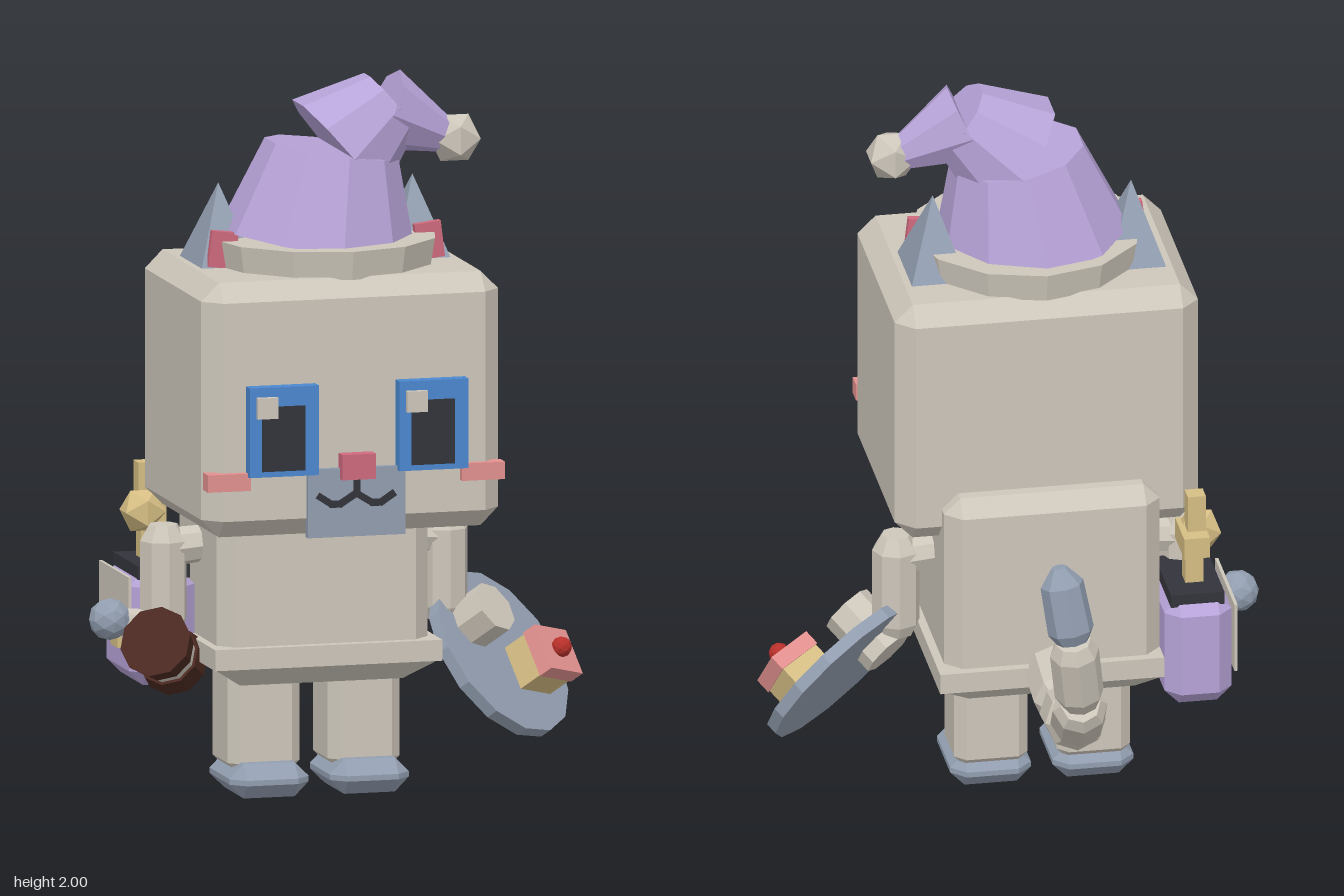
import * as THREE from 'three';
import { ConvexGeometry } from 'three/addons/geometries/ConvexGeometry.js';

const V = (x, y, z) => new THREE.Vector3(x, y, z);
const CX = -0.077; // symmetry axis of the body

export function createModel() {
  const root = new THREE.Group();
  const colours = {
    cream: 0xcdc6ba, slate: 0x929eb0, purple: 0xb7a3d8, rose: 0xcf6a7e, salmon: 0xe2918f,
    blue: 0x4b88cf, charcoal: 0x33343b, gold: 0xd6be84, brown: 0x4c2a21, red: 0xb8302a,
  };
  const M = {};
  for (const [name, color] of Object.entries(colours)) {
    M[name] = new THREE.MeshStandardMaterial({ color, flatShading: true });
    M[name].name = name;
  }

  const add = (name, geo, mat, pos, parent = root) => {
    const m = new THREE.Mesh(geo, mat);
    m.name = name;
    if (pos) m.position.copy(pos);
    parent.add(m);
    return m;
  };
  // box given by its limits
  const box = (name, mat, x0, x1, y0, y1, z0, z1) => add(name,
    new THREE.BoxGeometry(x1 - x0, y1 - y0, z1 - z0), mat,
    V((x0 + x1) / 2, (y0 + y1) / 2, (z0 + z1) / 2));
  // box with cut edges and corners
  const chamferBox = (name, mat, x0, x1, y0, y1, z0, z1, c) => {
    const h = [(x1 - x0) / 2, (y1 - y0) / 2, (z1 - z0) / 2], pts = [];
    for (const sx of [-1, 1]) for (const sy of [-1, 1]) for (const sz of [-1, 1])
      for (let k = 0; k < 3; k++) {
        const d = h.map((v, i) => (i === k ? v : v - c));
        pts.push(V(sx * d[0], sy * d[1], sz * d[2]));
      }
    return add(name, new ConvexGeometry(pts), mat, V((x0 + x1) / 2, (y0 + y1) / 2, (z0 + z1) / 2));
  };
  // turned segment from a to b, with [radius, fraction] profile
  const segment = (name, mat, a, b, profile, sides = 8) => {
    const dir = b.clone().sub(a), len = dir.length();
    const pts = [new THREE.Vector2(0, profile[0][1] * len),
      ...profile.map(([r, t]) => new THREE.Vector2(r, t * len)),
      new THREE.Vector2(0, profile[profile.length - 1][1] * len)];
    const m = add(name, new THREE.LatheGeometry(pts, sides), mat, a);
    m.quaternion.setFromUnitVectors(V(0, 1, 0), dir.normalize());
    return m;
  };
  const rod = (name, mat, a, b, r0, r1, sides) => segment(name, mat, a, b, [[r0, 0], [r1, 1]], sides);
  const bead = (r, e = 0.72) => [[r * e, 0], [r, 0.18], [r, 0.82], [r * e, 1]];

  // head and body
  chamferBox('head', M.cream, -0.497, 0.344, 0.783, 1.487, -0.01, 0.661, 0.05);
  chamferBox('body', M.cream, -0.376, 0.222, 0.36, 0.93, -0.087, 0.376, 0.045);
  box('hem', M.cream, CX - 0.322, CX + 0.322, 0.376, 0.434, -0.113, 0.403);
  const under = new THREE.CylinderGeometry(0.5, 0.37, 0.056, 4).rotateY(Math.PI / 4);
  under.scale(0.88, 1, 0.7);
  add('bodyUnderside', under, M.cream, V(CX, 0.348, 0.145));

  // legs, feet, arms, ears
  for (const s of [-1, 1]) {
    const side = s > 0 ? 'left' : 'right';
    const lx = CX + 0.005 + s * 0.142;
    chamferBox(side + 'Leg', M.cream, lx - 0.102, lx + 0.102, 0.06, 0.38, 0.05, 0.26, 0.03);
    chamferBox(side + 'Foot', M.slate, lx - 0.112, lx + 0.112, 0, 0.095, 0.045, 0.328, 0.04);
    const ax = CX + s * 0.398;
    rod(side + 'Shoulder', M.cream, V(CX + s * 0.27, 0.69, 0.148), V(ax, 0.68, 0.148), 0.05, 0.055, 8);
    segment(side + 'Arm', M.cream, V(ax, 0.45, 0.148), V(ax, 0.746, 0.148),
      [[0.05, 0], [0.066, 0.12], [0.066, 0.85], [0.04, 1]]);
    const ear = new THREE.ConeGeometry(Math.SQRT1_2, 0.225, 4).rotateY(Math.PI / 4);
    ear.scale(0.16, 1, 0.23);
    add(side + 'Ear', ear, M.slate, V(CX + s * 0.275, 1.592, 0.265));
    add(side + 'InnerEar', new THREE.BoxGeometry(0.075, 0.1, 0.022), M.rose,
      V(CX + s * 0.292, 1.537, 0.37)).rotation.z = s * 0.12;
    // eyes and cheeks
    const ex = CX + 0.003 + s * 0.212;
    box(side + 'Eye', M.blue, ex - 0.098, ex + 0.098, 0.958, 1.206, 0.65, 0.7);
    box(side + 'Pupil', M.charcoal, ex - 0.064, ex + 0.058, 0.974, 1.153, 0.69, 0.706);
    box(side + 'EyeGlint', M.cream, ex - 0.08, ex - 0.022, 1.122, 1.18, 0.69, 0.718);
    const wx = CX + s * 0.36;
    box(side + 'Cheek', M.salmon, wx - 0.061, wx + 0.061, 0.92, 0.968, 0.635, 0.683);
  }

  // muzzle, nose, mouth
  box('muzzle', M.slate, -0.213, 0.063, 0.78, 0.97, 0.65, 0.677);
  box('nose', M.rose, -0.122, -0.027, 0.94, 1.01, 0.65, 0.7);
  box('mouthStem', M.charcoal, -0.084, -0.066, 0.89, 0.945, 0.672, 0.684);
  for (const s of [-1, 1]) {
    const line = [[0, 0.9], [0.045, 0.872], [0.07, 0.872], [0.105, 0.895]];
    for (let i = 0; i < 3; i++) {
      const [x0, y0] = line[i], [x1, y1] = line[i + 1];
      add('mouthLine', new THREE.BoxGeometry(Math.hypot(x1 - x0, y1 - y0) + 0.01, 0.019, 0.012), M.charcoal,
        V(CX + s * (x0 + x1) / 2, (y0 + y1) / 2, 0.678)).rotation.z = s * Math.atan2(y1 - y0, x1 - x0);
    }
  }

  // floppy hat
  add('hatBrim', new THREE.CylinderGeometry(0.318, 0.305, 0.08, 12), M.cream, V(-0.073, 1.52, 0.32));
  const hz = 0.315;
  rod('hatBase', M.purple, V(-0.085, 1.54, hz), V(-0.045, 1.795, hz), 0.272, 0.185, 10);
  rod('hatMiddle', M.purple, V(-0.03, 1.79, hz), V(0.12, 1.915, hz), 0.182, 0.105, 10);
  rod('hatTip', M.purple, V(0.1, 1.895, hz), V(0.285, 1.81, hz), 0.118, 0.045, 8);
  add('hatBall', new THREE.IcosahedronGeometry(0.075, 0), M.cream, V(0.302, 1.808, 0.32));

  // tail
  const path = [V(-0.08, 0.42, -0.06), V(-0.08, 0.385, -0.275), V(-0.072, 0.425, -0.46),
    V(-0.055, 0.555, -0.605), V(-0.025, 0.77, -0.655), V(0.01, 0.985, -0.63)];
  const radii = [0.088, 0.084, 0.076, 0.068];
  radii.forEach((r, i) => segment('tailSegment', M.cream, path[i], path[i + 1], bead(r)));
  segment('tailTip', M.slate, path[4], path[5], [[0.045, 0], [0.064, 0.15], [0.06, 0.78], [0.022, 1]]);

  // round shield on the left hand, with a badge block
  const shield = new THREE.Group();
  shield.name = 'shield';
  shield.position.set(0.472, 0.345, 0.16);
  shield.lookAt(V(1.472, 1.345, 1.16));
  root.add(shield);
  const disc = (r0, r1, h, n) => new THREE.CylinderGeometry(r0, r1, h, n).rotateX(Math.PI / 2);
  add('shieldDisc', disc(0.255, 0.255, 0.035, 14), M.slate, V(0, 0, 0), shield);
  add('leftHand', disc(0.075, 0.075, 0.17, 8), M.cream, V(-0.075, 0.1, 0.025), shield);
  const badge = new THREE.Group();
  badge.name = 'badge';
  badge.position.set(0.058, -0.075, 0);
  badge.rotation.z = -0.3;
  shield.add(badge);
  add('badgeBlock', new THREE.BoxGeometry(0.13, 0.13, 0.085), M.gold, V(0, 0, 0.05), badge);
  add('badgePlate', new THREE.BoxGeometry(0.138, 0.138, 0.045), M.salmon, V(0, 0, 0.115), badge);
  add('badgeBall', new THREE.IcosahedronGeometry(0.029, 1), M.red, V(0, 0, 0.148), badge);

  // mallet in the right hand
  const axis = V(-0.5, 0.45, 0.74).normalize(), front = V(-0.54, 0.448, 0.3);
  const along = (d) => front.clone().addScaledVector(axis, -d);
  rod('malletFront', M.brown, along(0.075), front, 0.088, 0.1, 10);
  rod('malletBand', M.cream, along(0.115), along(0.075), 0.08, 0.08, 10);
  rod('malletBack', M.brown, along(0.185), along(0.115), 0.095, 0.088, 10);
  rod('malletHandle', M.cream, V(-0.474, 0.46, 0.148), V(-0.62, 0.485, 0.152), 0.05, 0.035, 8);
  add('malletKnob', new THREE.IcosahedronGeometry(0.058, 1), M.slate, V(-0.628, 0.49, 0.152));

  // satchel with flap, clasp and a gold figurine
  chamferBox('satchel', M.purple, -0.562, -0.376, 0.296, 0.61, -0.155, 0.15, 0.04);
  box('satchelOpening', M.charcoal, -0.54, -0.392, 0.59, 0.627, -0.128, 0.125);
  box('satchelFlap', M.cream, -0.571, -0.562, 0.4, 0.6, -0.16, 0.14);
  box('satchelClasp', M.gold, -0.583, -0.568, 0.395, 0.45, 0, 0.07);
  box('figurineStem', M.gold, -0.495, -0.445, 0.61, 0.74, -0.055, -0.005);
  box('figurineArms', M.gold, -0.503, -0.432, 0.725, 0.785, -0.11, 0.03);
  add('figurineBody', new THREE.IcosahedronGeometry(0.066, 0), M.gold, V(-0.492, 0.76, 0));
  box('figurineTop', M.gold, -0.5, -0.45, 0.77, 0.89, -0.065, -0.015);

  return root;
}
